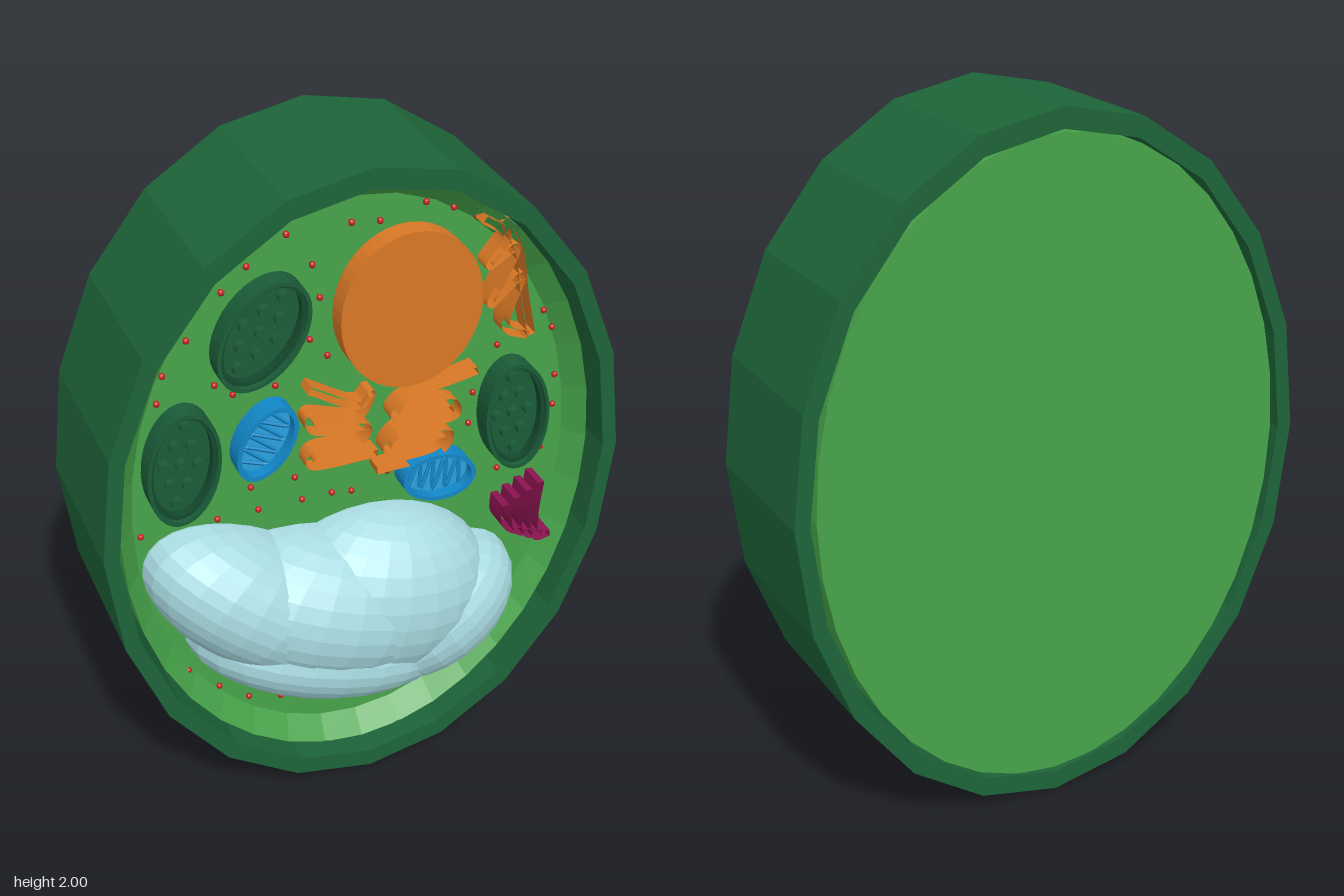
import * as THREE from 'three';

const CX = -0.045, FLOOR = 0.05;
const mat = (color, extra = {}) => new THREE.MeshStandardMaterial({ color, flatShading: true, ...extra });
const M = {
  wall: mat(0x1d6438), membrane: mat(0x46a349), orange: mat(0xd87825),
  orangeThin: mat(0xd87825, { side: THREE.DoubleSide }),
  darkGreen: mat(0x1a5c38), deepGreen: mat(0x14492c),
  blue: mat(0x1288c8), paleBlue: mat(0x2aa0dc), vacuole: mat(0xa8dbe1),
  red: mat(0xc22222), magenta: mat(0x8c1450, { side: THREE.DoubleSide }),
};

function add(parent, name, geometry, material) {
  const mesh = new THREE.Mesh(geometry, material);
  mesh.name = name;
  parent.add(mesh);
  return mesh;
}

function group(parent, name) {
  const g = new THREE.Group();
  g.name = name;
  parent.add(g);
  return g;
}

// Points of an ellipse, starting at the top
function ellipse(a, b, n) {
  return Array.from({ length: n }, (_, i) => {
    const t = (i / n) * Math.PI * 2;
    return new THREE.Vector2(-a * Math.sin(t), b * Math.cos(t));
  });
}

// Upright elliptical plate from z0 to z1, with an optional hole
function plate(a, b, n, z0, z1, hole) {
  const shape = new THREE.Shape(ellipse(a, b, n));
  if (hole) shape.holes.push(new THREE.Path(ellipse(hole[0], hole[1], n)));
  return new THREE.ExtrudeGeometry(shape, { depth: z1 - z0, bevelEnabled: false }).translate(0, 0, z0);
}

// Solid skinned over elliptical rings [a, b, z], listed from back to front
function loft(rings, n) {
  const pos = [], idx = [];
  for (const [a, b, z] of rings) for (const p of ellipse(a, b, n)) pos.push(p.x, p.y, z);
  for (let r = 0; r < rings.length - 1; r++) {
    for (let i = 0; i < n; i++) {
      const j = (i + 1) % n, p = r * n + i, q = r * n + j;
      idx.push(p, q, q + n, p, q + n, p + n);
    }
  }
  const g = new THREE.BufferGeometry();
  g.setAttribute('position', new THREE.Float32BufferAttribute(pos, 3));
  g.setIndex(idx);
  g.computeVertexNormals();
  return g;
}

// Thin wall standing on the floor, following the outline of a folded sac
function sac(points, halfWidth, z0, z1, samples = 60) {
  const curve = new THREE.CatmullRomCurve3(points.map(([x, y]) => new THREE.Vector3(x, y, 0)));
  const left = [], right = [];
  for (let i = 0; i <= samples; i++) {
    const p = curve.getPoint(i / samples), t = curve.getTangent(i / samples);
    left.push([p.x - t.y * halfWidth, p.y + t.x * halfWidth]);
    right.unshift([p.x + t.y * halfWidth, p.y - t.x * halfWidth]);
  }
  const loop = [...left, ...right], n = loop.length, pos = [], idx = [];
  for (const [x, y] of loop) pos.push(x, y, z0, x, y, z1);
  for (let i = 0; i < n; i++) {
    const a = 2 * i, b = 2 * ((i + 1) % n);
    idx.push(a, b, b + 1, a, b + 1, a + 1);
  }
  const g = new THREE.BufferGeometry();
  g.setAttribute('position', new THREE.Float32BufferAttribute(pos, 3));
  g.setIndex(idx);
  g.computeVertexNormals();
  return g;
}

function chloroplast(parent, x, y, a, b, tilt) {
  const g = group(parent, 'chloroplast');
  g.position.set(x, y, 0);
  g.rotation.z = tilt;
  add(g, 'chloroplastOuterRim', plate(a, b, 32, FLOOR, 0.115, [a * 0.9, b * 0.93]), M.darkGreen);
  add(g, 'chloroplastInnerRim', plate(a * 0.9, b * 0.93, 32, FLOOR, 0.1, [a * 0.8, b * 0.86]), M.deepGreen);
  add(g, 'chloroplastBed', plate(a * 0.82, b * 0.88, 32, FLOOR, 0.075), M.darkGreen);
  // Stacked discs in staggered rows
  for (let row = -2; row <= 2; row++) {
    const count = row % 2 ? 2 : Math.abs(row) === 2 ? 1 : 3;
    for (let k = 0; k < count; k++) {
      const disc = add(g, 'granum', new THREE.CylinderGeometry(0.017, 0.017, 0.025, 14), M.darkGreen);
      disc.rotation.x = Math.PI / 2;
      disc.position.set((k - (count - 1) / 2) * a * 0.48, row * b * 0.34, 0.085);
    }
  }
}

function mitochondrion(parent, x, y, a, b, tilt) {
  const g = group(parent, 'mitochondrion');
  g.position.set(x, y, 0);
  g.rotation.z = tilt;
  add(g, 'mitochondrionRim', plate(a, b, 32, FLOOR, 0.115, [a * 0.84, b * 0.88]), M.blue);
  add(g, 'mitochondrionBed', plate(a * 0.86, b * 0.9, 32, FLOOR, 0.08), M.paleBlue);
  // Folded inner ridge
  const path = [];
  for (let i = 0; i < 9; i++) {
    const v = -0.7 + i * 0.175;
    const reach = 0.72 * a * Math.sqrt(1 - v * v);
    path.push(new THREE.Vector3((i % 2 ? 1 : -1) * reach, v * b, 0.085));
  }
  add(g, 'innerFold', new THREE.TubeGeometry(new THREE.CatmullRomCurve3(path), 64, 0.006, 5), M.blue);
}

export function createModel() {
  const root = new THREE.Group();
  root.name = 'plantCell';

  // Shell and filling
  add(root, 'cellWall', plate(0.77, 1, 20, -0.32, 0.175, [0.726, 0.942]), M.wall).position.set(CX, 1, 0);
  add(root, 'cellMembrane', loft([
    [0, 0, -0.31], [0.705, 0.933, -0.31], [0.705, 0.933, 0.11], [0.655, 0.87, FLOOR], [0, 0, FLOOR],
  ], 36), M.membrane).position.set(CX, 1, 0);

  // Nucleus
  add(root, 'nucleus', plate(0.207, 0.232, 48, FLOOR, 0.112), M.orange).position.set(0.095, 1.535, 0);

  // Large vacuole: overlapping lobes [x, y, rx, ry, rz, tilt]
  const vacuole = group(root, 'vacuole');
  for (const [x, y, rx, ry, rz, tilt] of [
    [-0.36, 0.68, 0.38, 0.2, 0.23, -0.66],
    [0.01, 0.61, 0.36, 0.285, 0.25, -0.2],
    [-0.16, 0.48, 0.43, 0.175, 0.24, -0.3],
    [0.18, 0.5, 0.29, 0.2, 0.225, 0.52],
    [-0.15, 0.62, 0.42, 0.24, 0.262, -0.35],
  ]) {
    const lobe = add(vacuole, 'vacuoleLobe', new THREE.SphereGeometry(1, 24, 16), M.vacuole);
    lobe.scale.set(rx, ry, rz);
    lobe.rotation.z = tilt;
    lobe.position.set(x, y, 0.058);
  }

  // Chloroplasts and mitochondria
  chloroplast(root, -0.325, 1.545, 0.112, 0.168, -0.6);
  chloroplast(root, -0.56, 1.19, 0.102, 0.175, -0.15);
  chloroplast(root, 0.43, 1.12, 0.1, 0.177, 0.08);
  mitochondrion(root, -0.325, 1.215, 0.075, 0.118, -0.55);
  mitochondrion(root, 0.19, 0.975, 0.077, 0.115, 1.4);

  // Folded reticulum below and beside the nucleus
  const reticulum = group(root, 'endoplasmicReticulum');
  for (const path of [
    [[-0.2, 1.35], [-0.05, 1.27], [-0.02, 1.3], [-0.06, 1.23], [-0.2, 1.26], [-0.19, 1.22], [-0.03, 1.19], [-0.05, 1.15], [-0.19, 1.14], [-0.2, 1.11], [0, 1.1]],
    [[0.3, 1.3], [0.08, 1.25], [0.05, 1.21], [0.23, 1.21], [0.24, 1.17], [0.06, 1.15], [0.03, 1.1], [0.22, 1.11], [0.2, 1.06], [0, 1.04]],
    [[0.3, 1.76], [0.37, 1.7], [0.32, 1.62], [0.4, 1.66], [0.33, 1.5], [0.42, 1.57], [0.38, 1.42], [0.45, 1.38]],
    [[0.36, 1.75], [0.41, 1.64], [0.43, 1.52], [0.46, 1.38]],
  ]) add(reticulum, 'reticulumFold', sac(path, 0.012, FLOOR, 0.105, 90), M.orangeThin);

  // Golgi body: nested curved sacs
  const golgi = group(root, 'golgiBody');
  for (let i = 0; i < 4; i++) {
    const s = i * 0.037, h = 0.05 + i * 0.018;
    add(golgi, 'golgiSac', sac([
      [0.4 + s, 0.78 + h], [0.4 + s * 0.9, 0.77], [0.42 + s * 0.8, 0.74 - i * 0.018], [0.47 + s * 0.75, 0.74 - h * 0.5],
    ], 0.011, FLOOR, 0.13, 24), M.magenta);
  }

  // Ribosomes scattered over the floor
  const ribosomes = group(root, 'ribosomes');
  const dot = new THREE.SphereGeometry(0.0095, 8, 6);
  const rows = [
    [-0.24, 1.8, -0.06, 1.8, 0.02, 1.79, 0.15, 1.82, 0.23, 1.79, 0.3, 1.75, 0.42, 1.66, 0.46, 1.6],
    [-0.35, 1.73, -0.42, 1.67, -0.49, 1.64, -0.52, 1.55, -0.59, 1.46, -0.61, 1.38, -0.45, 1.4, -0.68, 0.97],
    [0.52, 1.6, 0.53, 1.5, 0.52, 1.42, 0.55, 1.36, 0.57, 1.2, 0.57, 1.1, 0.54, 0.96, 0.4, 0.92],
    [-0.57, 0.46, -0.48, 0.37, -0.39, 0.3, -0.29, 0.27, -0.18, 0.25, -0.05, 0.22, 0.07, 0.22],
    [-0.46, 0.97, -0.34, 0.97, -0.21, 0.97, -0.12, 0.97, -0.36, 1.05, -0.23, 1.05, -0.06, 0.96, 0.05, 1],
    [-0.4, 1.36, -0.28, 1.36, -0.18, 1.48, -0.15, 1.6, -0.13, 1.42, -0.17, 1.7, 0.31, 1.2, 0.3, 1.1, 0.38, 1.34],
  ];
  for (const row of rows) {
    for (let i = 0; i < row.length; i += 2) {
      add(ribosomes, 'ribosome', dot, M.red).position.set(row[i], row[i + 1], FLOOR + 0.008);
    }
  }
  return root;
}
